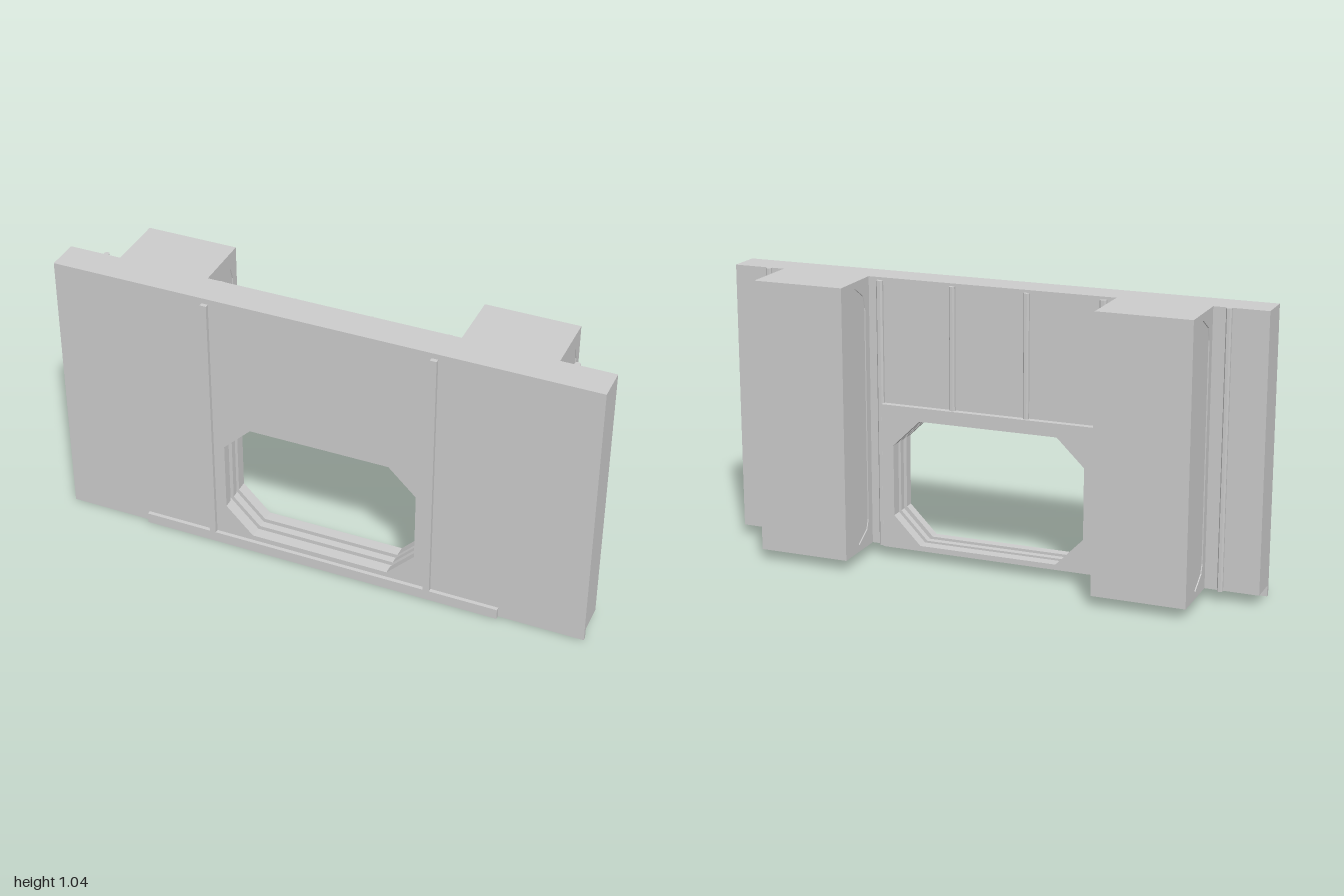
import * as THREE from 'three';

export function createModel() {
  const model = new THREE.Group();
  const mat = new THREE.MeshStandardMaterial({ color: 0xcccccc, flatShading: true });

  const add = (name, geo) => {
    const mesh = new THREE.Mesh(geo, mat);
    mesh.name = name;
    model.add(mesh);
    return mesh;
  };
  const box = (name, x0, x1, y0, y1, z0, z1) =>
    add(name, new THREE.BoxGeometry(x1 - x0, y1 - y0, z1 - z0))
      .position.set((x0 + x1) / 2, (y0 + y1) / 2, (z0 + z1) / 2);
  const polygon = (pts, Type = THREE.Shape) => new Type(pts.map(p => new THREE.Vector2(...p)));
  const rect = (x0, x1, y0, y1) => polygon([[x0, y0], [x1, y0], [x1, y1], [x0, y1]]);

  // Chamfered window outline, grown outwards by g
  const windowHole = g => {
    const x = 0.365 + g, c = 0.262 + g * 0.4, b = 0.06 - g, t = 0.53 + g;
    const lo = 0.165 - g * 0.4, hi = 0.43 + g * 0.4;
    return polygon([[-c, b], [-x, lo], [-x, hi], [-c, t], [c, t], [x, hi], [x, lo], [c, b]], THREE.Path);
  };
  // Upright slab pierced by the window
  const slab = (name, x, top, z0, z1, g) => {
    const shape = rect(-x, x, 0.04, top);
    shape.holes.push(windowHole(g));
    add(name, new THREE.ExtrudeGeometry(shape, { depth: z1 - z0, bevelEnabled: false })).position.z = z0;
  };

  // Wall in layers, so that two grooves run around the window reveal
  [[0.13, 0.165, 0], [0.105, 0.13, 0.015], [0.08, 0.105, 0], [0.06, 0.08, 0.015], [0.042, 0.06, 0]]
    .forEach(([z0, z1, g]) => slab('wallLayer', 1, 1.04, z0, z1, g));
  slab('windowPanel', 0.41, 0.58, 0.018, 0.042, 0);

  // Bottom lip and kick plate
  box('bottomLip', -1, 1, 0, 0.04, 0.15, 0.165);
  box('kickPlate', -0.685, 0.685, 0, 0.04, 0.165, 0.18);

  // Rear rib with bevelled edges
  const rearRib = (x, w, y0, y1) => {
    const shape = polygon([[-w, 0], [w, 0], [w, 0.009], [w * 0.5, 0.016], [-w * 0.5, 0.016], [-w, 0.009]]);
    const geo = new THREE.ExtrudeGeometry(shape, { depth: y1 - y0, bevelEnabled: false });
    geo.rotateX(Math.PI / 2);
    geo.rotateY(Math.PI);
    add('rearRib', geo).position.set(x, y1, 0.042);
  };

  // Elongated recess on the column sides, as [z, y]
  const recess = [[-0.07, 0.065], [-0.135, 0.105], [-0.15, 0.14], [-0.15, 0.93], [-0.135, 0.975],
    [-0.07, 1.015], [-0.002, 0.975], [0.01, 0.93], [0.01, 0.14], [-0.002, 0.105]];
  const inset = 0.004;

  for (const s of [-1, 1]) {
    const cx = s * 0.635;
    box('columnCore', cx - 0.17 + inset, cx + 0.17 - inset, 0.04, 1.04, -0.18, 0.042);
    for (const x of [cx - 0.17, cx + 0.17 - inset]) {
      const side = rect(0.18, -0.042, 0.04, 1.04);
      side.holes.push(polygon(recess.map(([z, y]) => [-z, y]), THREE.Path));
      const geo = new THREE.ExtrudeGeometry(side, { depth: inset, bevelEnabled: false });
      geo.rotateY(Math.PI / 2);
      add('columnSide', geo).position.x = x;
    }
    box('frontRib', s * 0.418 - 0.012, s * 0.418 + 0.012, 0.04, 1.02, 0.165, 0.18);
    rearRib(s * 0.14, 0.01, 0.58, 1.03);
    rearRib(s * 0.42, 0.012, 0.04, 1.03);
    rearRib(s * 0.862, 0.01, 0.04, 1.04);
  }
  return model;
}
